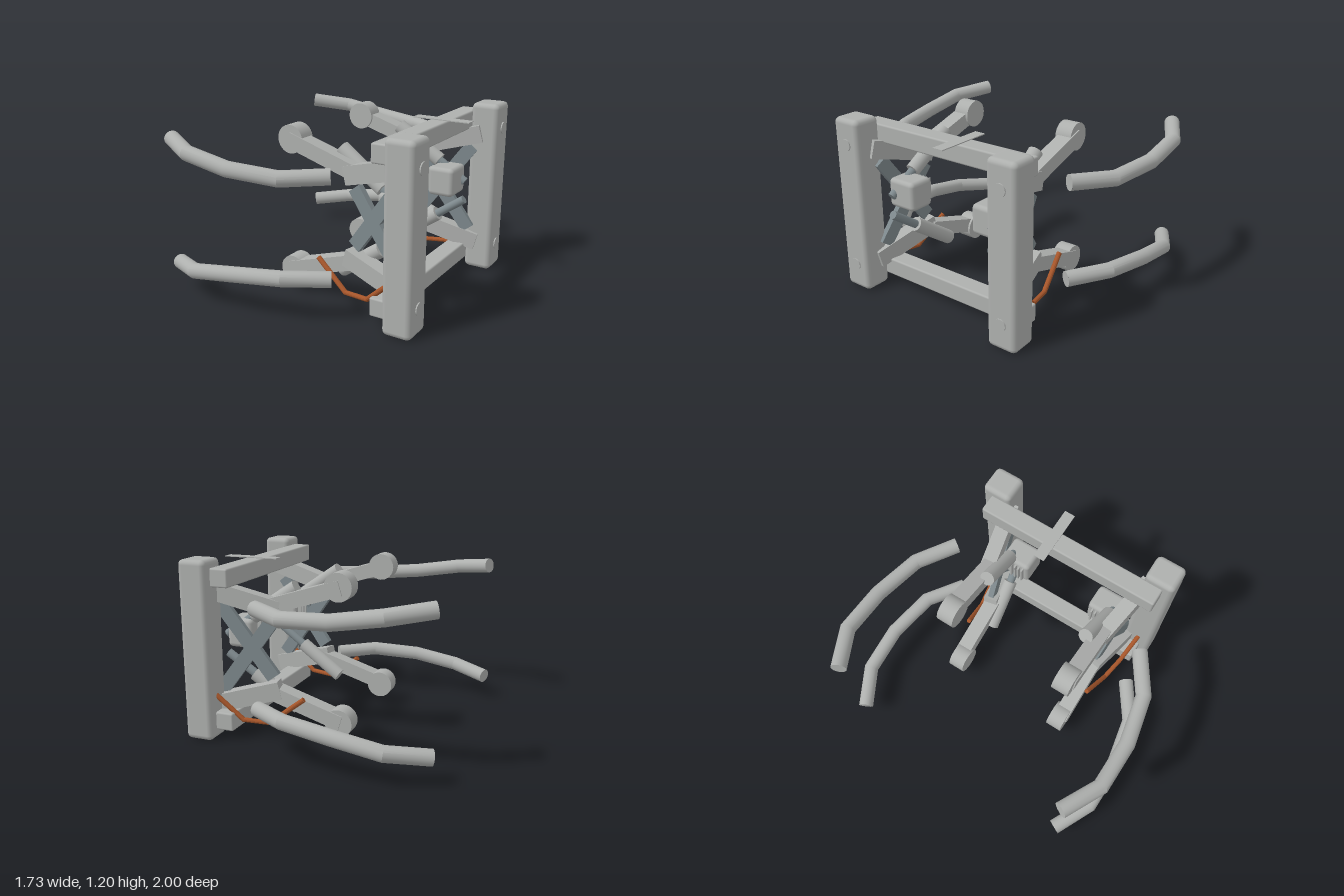
import * as THREE from 'three';
import { toCreasedNormals } from 'three/addons/utils/BufferGeometryUtils.js';
import { RoundedBoxGeometry } from 'three/addons/geometries/RoundedBoxGeometry.js';

const mat = (name, color) => {
  const m = new THREE.MeshStandardMaterial({ color });
  m.name = name;
  return m;
};

// Straight-segment path whose tube rings fall exactly on the corners
class Polyline extends THREE.Curve {
  constructor(points) { super(); this.points = points; }
  getPoint(t, target = new THREE.Vector3()) {
    const n = this.points.length - 1;
    const i = Math.min(Math.floor(t * n), n - 1);
    return target.lerpVectors(this.points[i], this.points[i + 1], t * n - i);
  }
  getPointAt(t, target) { return this.getPoint(t, target); }
  getTangentAt(t, target) { return this.getTangent(t, target); }
}

export function createModel() {
  const model = new THREE.Group();
  const grey = mat('paintedGrey', 0xaeb0ae);
  const steel = mat('darkSteel', 0x7e898d);
  const copper = mat('copper', 0xa5552a);

  const add = (name, geometry, material, position, parent = model) => {
    const mesh = new THREE.Mesh(geometry, material);
    mesh.name = name;
    if (position) mesh.position.set(...position);
    parent.add(mesh);
    return mesh;
  };

  // Rectangular bar between two points: width is horizontal, height vertical
  const bar = (name, a, b, width, height, material, parent) => {
    const m = add(name, new THREE.BoxGeometry(width, height, a.distanceTo(b)), material, null, parent);
    m.position.copy(a).lerp(b, 0.5);
    m.lookAt(b);
    return m;
  };

  const rod = (name, a, b, radius, material, parent) => {
    const m = add(name, new THREE.CylinderGeometry(radius, radius, a.distanceTo(b), 24), material, null, parent);
    m.position.copy(a).lerp(b, 0.5);
    m.quaternion.setFromUnitVectors(new THREE.Vector3(0, 1, 0), b.clone().sub(a).normalize());
    return m;
  };

  // Bent pipe with flat end caps
  const pipe = (name, points, radius, sides, material, parent) => {
    const n = points.length - 1;
    const tube = new THREE.TubeGeometry(new Polyline(points), n, radius, sides, false);
    add(name, toCreasedNormals(tube, 0.38), material, null, parent);
    for (const [end, next] of [[points[0], points[1]], [points[n], points[n - 1]]]) {
      const cap = add(name + 'Cap', new THREE.CircleGeometry(radius, sides), material, null, parent);
      cap.position.copy(end);
      cap.lookAt(end.clone().multiplyScalar(2).sub(next));
    }
  };

  // Cross beams and the thin plate lying on the upper one
  for (const y of [0.125, 1.083]) {
    add('crossBeam', new RoundedBoxGeometry(0.13, 0.122, 1.3, 2, 0.012), grey, [0.605, y, 0]);
  }
  add('topPlate', new THREE.BoxGeometry(0.39, 0.006, 0.075), grey, [0.625, 1.149, -0.135]);

  for (const s of [1, -1]) {
    const side = new THREE.Group();
    side.name = s > 0 ? 'frontSide' : 'backSide';
    model.add(side);

    // Upright post with bolt heads
    add('post', new RoundedBoxGeometry(0.195, 1.2, 0.21, 2, 0.035), grey, [0.758, 0.6, s * 0.615], side);
    for (const y of [0.18, 1.03]) {
      const bolt = add('bolt', new THREE.CylinderGeometry(0.04, 0.04, 0.03, 20), grey, [0.848, y, s * 0.615], side);
      bolt.rotation.z = Math.PI / 2;
    }

    // Gearbox with cooling fins
    add('gearbox', new RoundedBoxGeometry(0.185, 0.2, 0.215, 2, 0.03), grey, [0.57, 0.685, s * 0.35], side);
    for (let i = 0; i < 4; i++) {
      add('fin', new THREE.BoxGeometry(0.04, 0.14, 0.012), grey, [0.47, 0.69, s * (0.285 + i * 0.028)], side);
    }

    // Hose below the lower arm
    const hose = [[0.085, 0.3], [0.315, 0.125], [0.49, 0.135], [0.68, 0.305]]
      .map(([x, y]) => new THREE.Vector3(x, y, s * (0.515 + (x - 0.085) * 0.18)));
    pipe('hose', hose, 0.017, 12, copper, side);

    // Arms, pistons, braces and guards mirrored above and below mid-height
    for (const v of [1, -1]) {
      const P = (x, y, z) => new THREE.Vector3(x, 0.6 + v * (y - 0.6), s * z);
      const arm = new THREE.Group();
      arm.name = v > 0 ? 'upperArm' : 'lowerArm';
      side.add(arm);

      bar('armInner', P(0.275, 0.868, 0.45), P(0.74, 0.995, 0.535), 0.1, 0.12, grey, arm);
      bar('armOuter', P(-0.155, 1.042, 0.442), P(0.32, 0.895, 0.442), 0.108, 0.1, grey, arm);
      const wrist = add('wristDrum', new THREE.CylinderGeometry(0.093, 0.093, 0.116, 32), grey, null, arm);
      wrist.position.copy(P(-0.14, 1.045, 0.43));
      wrist.rotation.x = Math.PI / 2;

      rod('pistonSleeve', P(0.183, 1.008, 0.378), P(0.49, 0.797, 0.402), 0.05, grey, arm);
      rod('pistonRod', P(0.47, 0.811, 0.4), P(0.68, 0.665, 0.416), 0.029, steel, arm);
      bar('brace', P(0.325, 0.408, 0.452), P(0.685, 0.9, 0.5), 0.04, 0.094, steel, arm);

      pipe('guardPipe', [
        P(-0.845, 1.03, 0.815), P(-0.59, 0.993, 0.945), P(-0.27, 0.94, 0.95),
        P(0.065, 0.915, 0.885), P(0.315, 0.925, 0.715),
      ], 0.051, 24, grey, arm);
    }
  }
  return model;
}
